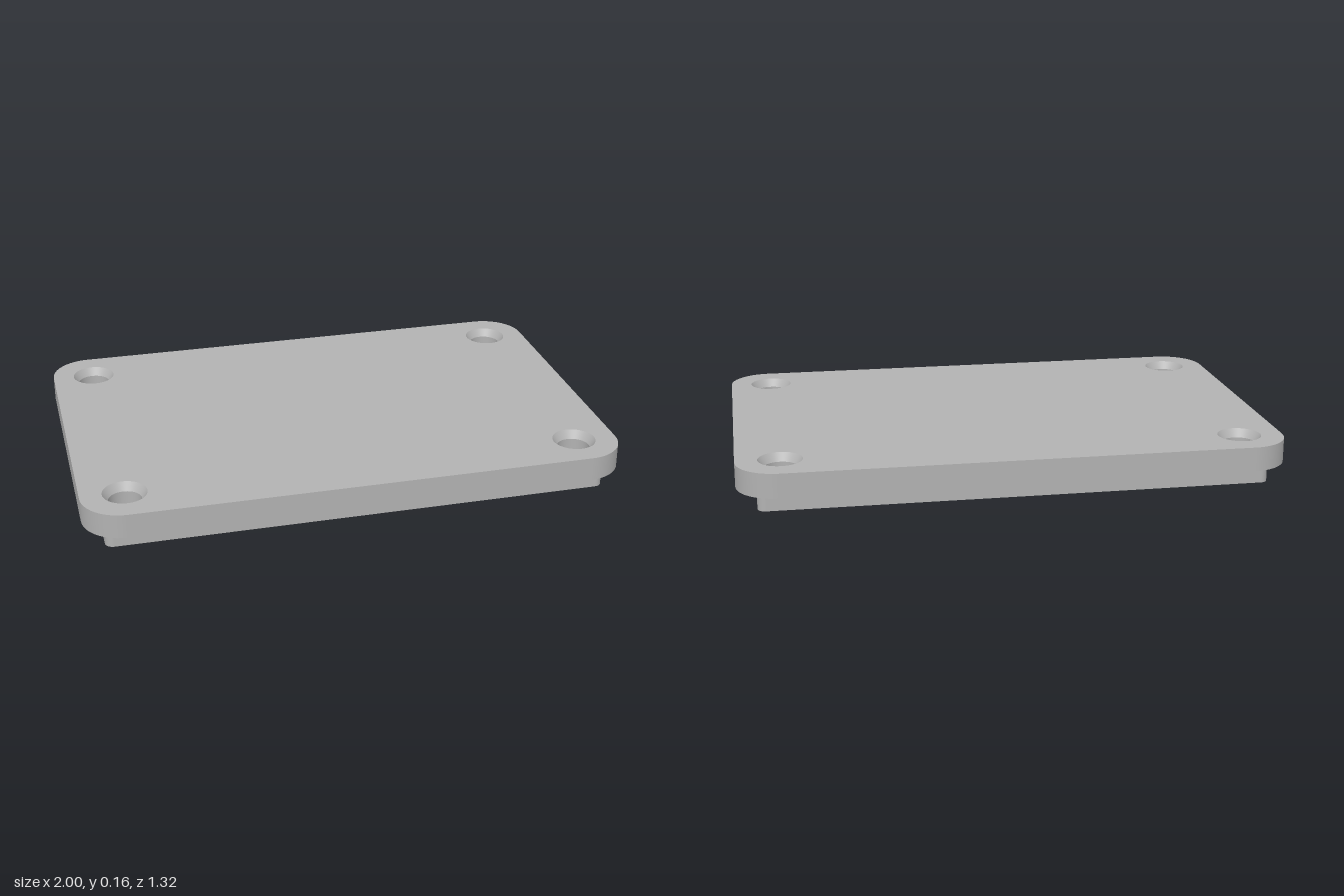
import * as THREE from 'three';

const SEG = 48;                       // segments around each hole
const HOLE_X = 0.84, HOLE_Z = 0.5;
const BORE_R = 0.06, SINK_R = 0.08, SINK_DEPTH = 0.03;
const STEP_Y = 0.067, TOP_Y = 0.157;

// Rounded rectangle as points with the direction each one faces
function outline(halfX, halfZ, radius, steps = 12) {
  const points = [];
  [[1, 1], [-1, 1], [-1, -1], [1, -1]].forEach(([sx, sz], corner) => {
    for (let i = 0; i <= steps; i++) {
      const a = (corner + i / steps) * Math.PI / 2;
      const n = new THREE.Vector2(Math.cos(a), Math.sin(a));
      points.push({
        p: new THREE.Vector2(sx * (halfX - radius), sz * (halfZ - radius)).addScaledVector(n, radius), n
      });
    }
  });
  return points;
}

// Smooth vertical wall that follows an outline
function wallGeometry(points, y0, y1) {
  const position = [], normal = [], index = [];
  points.forEach(({ p, n }, i) => {
    position.push(p.x, y0, p.y, p.x, y1, p.y);
    normal.push(n.x, 0, n.y, n.x, 0, n.y);
    const a = 2 * i, b = 2 * ((i + 1) % points.length);
    index.push(a, a + 1, b, b, a + 1, b + 1);
  });
  const geometry = new THREE.BufferGeometry();
  geometry.setAttribute('position', new THREE.Float32BufferAttribute(position, 3));
  geometry.setAttribute('normal', new THREE.Float32BufferAttribute(normal, 3));
  geometry.setIndex(index);
  return geometry;
}

// Flat horizontal face with openings, facing up (1) or down (-1)
function faceGeometry(points, holes, y, facing) {
  const shape = new THREE.Shape(points.map(o => o.p));
  shape.holes = holes.map(h => new THREE.Path(h));
  return new THREE.ShapeGeometry(shape).rotateX(-facing * Math.PI / 2).translate(0, y, 0);
}

function circle(cx, cy, r) {
  return Array.from({ length: SEG }, (_, i) => {
    const a = i / SEG * Math.PI * 2;
    return new THREE.Vector2(cx + r * Math.sin(a), cy + r * Math.cos(a));
  });
}

export function createModel() {
  const group = new THREE.Group();
  const grey = new THREE.MeshStandardMaterial({ color: 0xb2b2b2 });
  grey.name = 'plain grey';

  const add = (name, geometry) => {
    const mesh = new THREE.Mesh(geometry, grey);
    mesh.name = name;
    group.add(mesh);
    return mesh;
  };

  const centres = [];
  for (const sx of [-1, 1]) for (const sz of [-1, 1]) centres.push([sx * HOLE_X, sz * HOLE_Z]);
  const holes = r => centres.map(([x, z]) => circle(x, z, r));

  // Wide cover plate and the narrower locating step beneath it
  const plate = outline(1, 0.66, 0.15);
  const step = outline(0.927, 0.597, 0.03);
  add('plateTop', faceGeometry(plate, holes(SINK_R), TOP_Y, 1));
  add('plateRim', wallGeometry(plate, STEP_Y, TOP_Y));
  add('plateUnderside', faceGeometry(plate, [step.map(o => o.p)], STEP_Y, -1));
  add('stepRim', wallGeometry(step, 0, STEP_Y));
  add('stepUnderside', faceGeometry(step, holes(BORE_R), 0, -1));

  // Screw holes: conical countersink above a straight bore, facing inwards
  const sinkY = TOP_Y - SINK_DEPTH;
  const sink = new THREE.LatheGeometry(
    [new THREE.Vector2(SINK_R, TOP_Y), new THREE.Vector2(BORE_R, sinkY)], SEG);
  const bore = new THREE.LatheGeometry(
    [new THREE.Vector2(BORE_R, sinkY), new THREE.Vector2(BORE_R, 0)], SEG);
  for (const [x, z] of centres) {
    add('holeCountersink', sink).position.set(x, 0, z);
    add('holeBore', bore).position.set(x, 0, z);
  }
  return group;
}
